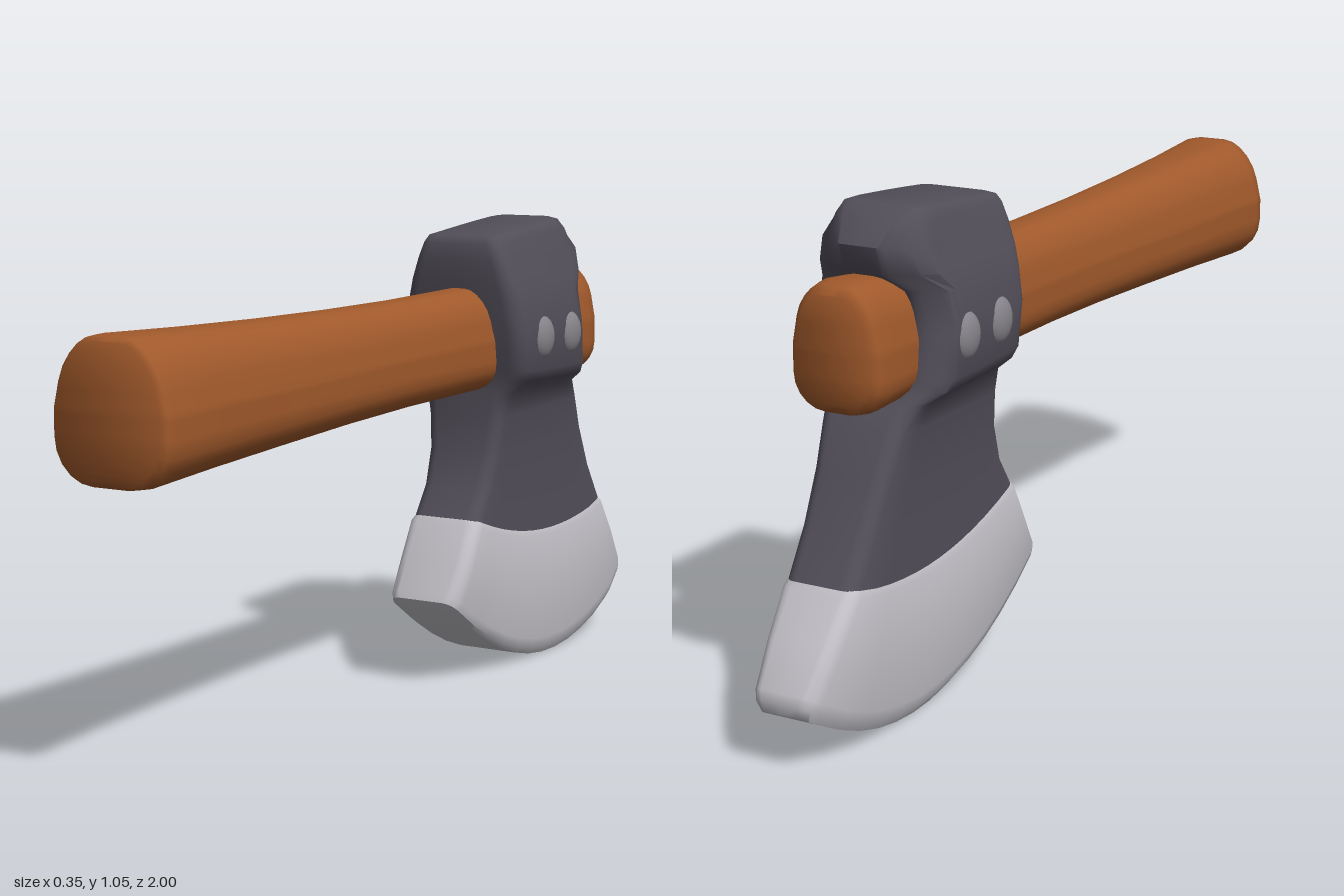
import * as THREE from 'three';
import { toCreasedNormals } from 'three/addons/utils/BufferGeometryUtils.js';

// Rounded rectangle as [u, x, long]: long spans +-a, x spans +-b.
// Beyond -from it narrows by the share t.
function section(a, b, r, t = 0, from = 0.75) {
  r = Math.min(r, a * 0.95, b * 0.95);
  const half = [[a, 0]];
  const arc = (s) => {
    for (let i = 0; i <= 5; i++) {
      const k = (s > 0 ? i : 5 - i) / 5 * Math.PI / 2;
      half.push([s * (a - r + r * Math.cos(k)), b - r + r * Math.sin(k)]);
    }
  };
  arc(1);
  for (let i = 1; i < 12; i++) half.push([(a - r) * (1 - i / 6), b]);
  arc(-1);
  half.push([-a, 0]);
  const mirrored = half.slice(1, -1).reverse().map(([l, x]) => [l, -x]);
  return half.concat(mirrored).map(([l, x]) => {
    const u = l / a;
    return [u, x * (1 - t * Math.max(0, -u - from) / (1 - from)), l];
  });
}

// Skin a list of matching rings, closing both ends with strips.
function loft(rings, crease = 0.7) {
  const n = rings[0].length, pts = rings.flat(), index = [];
  const tri = (a, b, c) => { if (a !== b && b !== c && a !== c) index.push(a, b, c); };
  for (let i = 0; i < rings.length - 1; i++) {
    for (let j = 0; j < n; j++) {
      const a = i * n + j, b = i * n + (j + 1) % n;
      tri(a, b, a + n);
      tri(b, b + n, a + n);
    }
  }
  for (let j = 0; j < n / 2; j++) {
    const m = (n - j) % n, q = n - j - 1, e = (rings.length - 1) * n;
    tri(j, m, q); tri(j, q, j + 1);
    tri(e + j, e + q, e + m); tri(e + j, e + j + 1, e + q);
  }
  // Turn the faces outward
  let volume = 0;
  for (let i = 0; i < index.length; i += 3) {
    const [a, b, c] = [0, 1, 2].map(k => new THREE.Vector3(...pts[index[i + k]]));
    volume += a.dot(b.cross(c));
  }
  if (volume < 0) index.reverse();
  const g = new THREE.BufferGeometry();
  g.setAttribute('position', new THREE.Float32BufferAttribute(pts.flat(), 3));
  g.setIndex(index);
  return toCreasedNormals(g, crease);
}

// Bowed ring of the head: front [z, y], back [z, y], height at the middle.
function headRing([zF, yF, zB, yB, yMid, width, r, taper]) {
  const mid = (zF + zB) / 2;
  return section((zF - zB) / 2, width, r, taper).map(([u, x, l]) =>
    [x, yMid + ((yF + yB) / 2 - yMid) * u * u + (yF - yB) / 2 * u, mid + l]);
}

// Ring of the handle: position along z, bottom, top, half width.
function handleRing([z, y0, y1, width, r]) {
  return section((y1 - y0) / 2, width, r, 0.25, 0).map(([, x, l]) => [x, (y0 + y1) / 2 - l, z]);
}

export function createModel() {
  const model = new THREE.Group();
  const paint = (name, color) => {
    const m = new THREE.MeshStandardMaterial({ color });
    m.name = name;
    return m;
  };
  const wood = paint('orange wood', 0xa0592b);
  const iron = paint('dark iron', 0x524e59);
  const steel = paint('bright steel', 0xc2c0c6);
  const stud = paint('grey stud', 0x858389);
  const add = (name, geometry, material) => {
    const mesh = new THREE.Mesh(geometry, material);
    mesh.name = name;
    model.add(mesh);
    return mesh;
  };

  // Handle, flaring toward the grip end
  add('handle', loft([
    [1.0, 0.625, 0.89, 0.122, 0.085],
    [0.99, 0.614, 0.898, 0.133, 0.09],
    [0.96, 0.612, 0.9, 0.135, 0.09],
    [0.75, 0.622, 0.894, 0.118, 0.085],
    [0.5, 0.634, 0.889, 0.106, 0.08],
    [0.25, 0.646, 0.887, 0.097, 0.075],
    [0.0, 0.655, 0.888, 0.091, 0.07],
    [-0.3, 0.66, 0.895, 0.09, 0.07],
    [-0.6, 0.66, 0.905, 0.098, 0.07],
    [-0.74, 0.658, 0.922, 0.1, 0.07],
    [-0.775, 0.664, 0.918, 0.096, 0.07],
    [-0.79, 0.68, 0.9, 0.082, 0.06],
  ].map(handleRing), 0.9), wood);

  // Head: neck rising into the socket and its rear lip
  add('head', loft([
    [-0.215, 0.375, -0.86, 0.34, 0.305, 0.086, 0.03, 0.1],
    [-0.262, 0.44, -0.8, 0.43, 0.41, 0.086, 0.03, 0.1],
    [-0.292, 0.52, -0.745, 0.53, 0.52, 0.09, 0.03, 0.1],
    [-0.302, 0.6, -0.705, 0.61, 0.605, 0.098, 0.03, 0.1],
    [-0.305, 0.655, -0.67, 0.655, 0.655, 0.11, 0.035, 0.1],
    [-0.308, 0.685, -0.648, 0.68, 0.68, 0.146, 0.04, 0.15],
    [-0.303, 0.71, -0.638, 0.705, 0.705, 0.158, 0.04, 0.2],
    [-0.29, 0.8, -0.628, 0.8, 0.8, 0.16, 0.04, 0.2],
    [-0.283, 0.87, -0.63, 0.88, 0.875, 0.148, 0.04, 0.3],
    [-0.278, 0.91, -0.675, 0.92, 0.915, 0.135, 0.035, 0.6],
    [-0.276, 0.96, -0.69, 0.975, 0.965, 0.116, 0.03, 0.55],
    [-0.278, 0.995, -0.65, 1.02, 1.007, 0.102, 0.03, 0.3],
    [-0.286, 1.01, -0.615, 1.04, 1.026, 0.092, 0.025, 0.1],
    [-0.3, 1.016, -0.6, 1.045, 1.032, 0.075, 0.02, 0.1],
  ].map(headRing), 0.9), iron);

  // Broad curved blade
  add('blade', loft([
    [-0.218, 0.376, -0.857, 0.342, 0.306, 0.087, 0.03, 0.1],
    [-0.208, 0.365, -0.868, 0.33, 0.293, 0.092, 0.03, 0.1],
    [-0.165, 0.285, -0.935, 0.245, 0.16, 0.094, 0.03, 0.18],
    [-0.122, 0.215, -0.993, 0.168, 0.04, 0.091, 0.03, 0.25],
    [-0.115, 0.2, -1.0, 0.148, 0.017, 0.085, 0.03, 0.25],
    [-0.13, 0.185, -0.992, 0.122, 0.0, 0.073, 0.025, 0.25],
  ].map(headRing), 0.8), steel);

  // Domed studs on both cheeks
  for (const side of [-1, 1]) {
    for (const z of [-0.405, -0.537]) {
      const s = add('stud', new THREE.SphereGeometry(1, 24, 16), stud);
      s.scale.set(0.025, 0.05, 0.043);
      s.position.set(side * 0.149, 0.78, z);
    }
  }
  return model;
}
